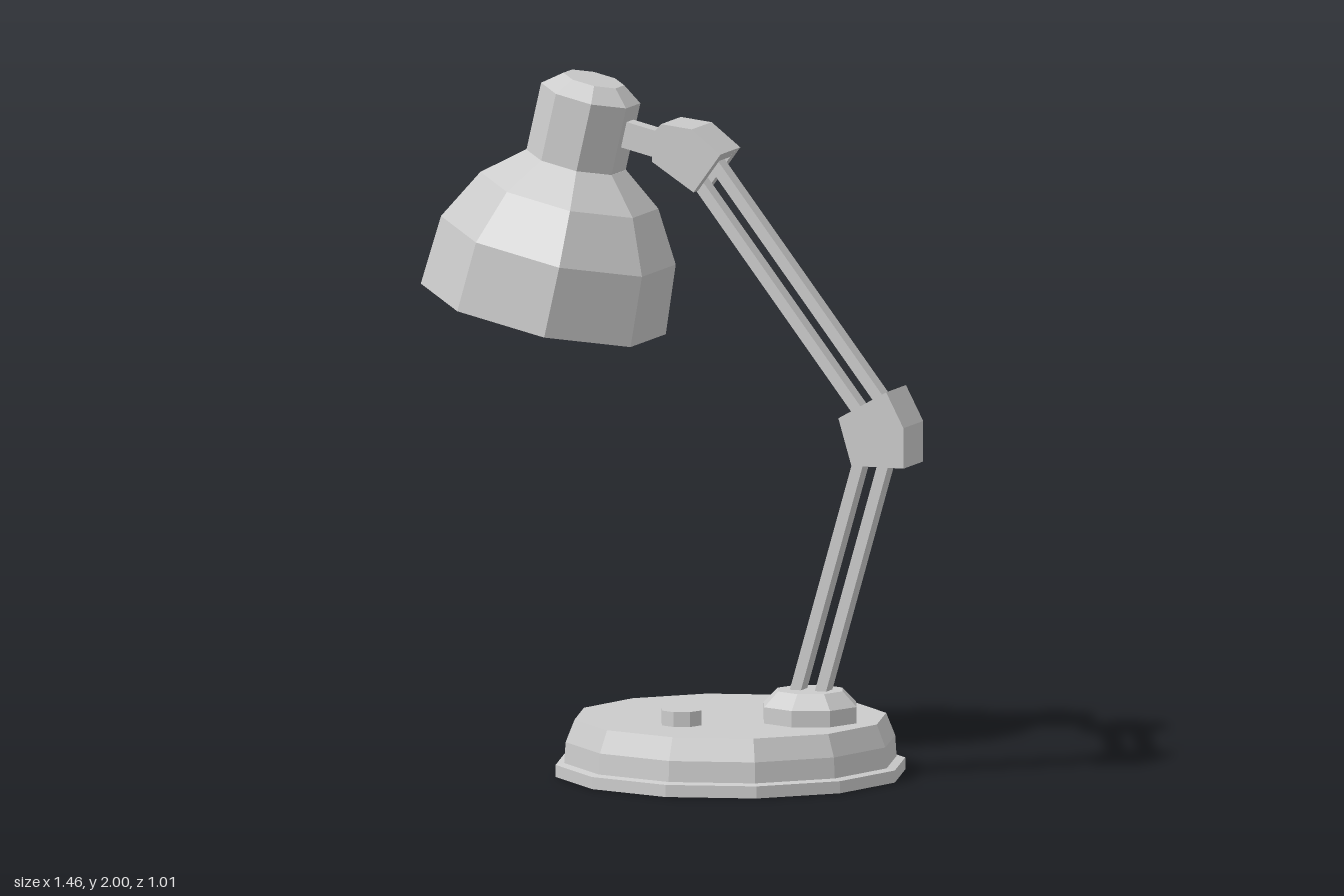
import * as THREE from 'three';

const material = new THREE.MeshStandardMaterial({ color: 0xcccccc, flatShading: true });

function add(parent, name, geometry, x = 0, y = 0, z = 0) {
  const mesh = new THREE.Mesh(geometry, material);
  mesh.name = name;
  mesh.position.set(x, y, z);
  parent.add(mesh);
  return mesh;
}

// Faceted solid turned around y from [radius, height] points
function turned(points, sides, phi = 0) {
  return new THREE.LatheGeometry(points.map(([r, y]) => new THREE.Vector2(r, y)), sides, phi);
}

// Rectangular bar between two points in the xy plane
function bar(parent, name, [x1, y1], [x2, y2], width, depth) {
  const length = Math.hypot(x2 - x1, y2 - y1);
  const mesh = add(parent, name, new THREE.BoxGeometry(length, width, depth), (x1 + x2) / 2, (y1 + y2) / 2);
  mesh.rotation.z = Math.atan2(y2 - y1, x2 - x1);
}

// Pair of parallel rods
function arm(parent, name, [x1, y1], [x2, y2], spacing) {
  const group = new THREE.Group();
  group.name = name;
  const length = Math.hypot(x2 - x1, y2 - y1);
  const nx = (y1 - y2) / length, ny = (x2 - x1) / length;
  for (const side of [-1, 1]) {
    const o = side * spacing / 2;
    bar(group, 'rod', [x1 + nx * o, y1 + ny * o], [x2 + nx * o, y2 + ny * o], 0.033, 0.05);
  }
  parent.add(group);
}

function slab(points, depth) {
  const shape = new THREE.Shape(points.map(([x, y]) => new THREE.Vector2(x, y)));
  return new THREE.ExtrudeGeometry(shape, { depth, bevelEnabled: false });
}

// Folded channel: two side plates joined by a bent outer wall
function bracket(parent, name, plate, wall) {
  const group = new THREE.Group();
  group.name = name;
  add(group, 'sidePlate', slab(plate, 0.034), 0, 0, 0.043);
  add(group, 'sidePlate', slab(plate, 0.034), 0, 0, -0.077);
  add(group, 'outerWall', slab(wall, 0.086), 0, 0, -0.043);
  parent.add(group);
}

export function createModel() {
  const lamp = new THREE.Group();
  lamp.name = 'deskLamp';

  // Base, arm collar and switch
  add(lamp, 'base', turned([
    [0, 0], [0.505, 0], [0.505, 0.035], [0.48, 0.04], [0.476, 0.1], [0.45, 0.165], [0, 0.165],
  ], 12), 0.168);
  add(lamp, 'armCollar', turned([
    [0, 0.16], [0.143, 0.16], [0.143, 0.212], [0.1, 0.255], [0, 0.255],
  ], 8), 0.413);
  add(lamp, 'switchButton', new THREE.CylinderGeometry(0.061, 0.061, 0.05, 8), 0.097, 0.183, 0.2);

  // Two-part arm
  arm(lamp, 'lowerArm', [0.4, 0.2], [0.628, 0.99], 0.074);
  arm(lamp, 'upperArm', [0.092, 1.743], [0.625, 1.058], 0.075);

  // Hinges
  bracket(lamp, 'elbowBracket',
    [[0.53, 1.055], [0.677, 1.138], [0.73, 1.037], [0.73, 0.92], [0.57, 0.92]],
    [[0.677, 1.138], [0.73, 1.037], [0.73, 0.92], [0.7, 0.92], [0.7, 1.03], [0.652, 1.123]]);
  bracket(lamp, 'headBracket',
    [[-0.037, 1.85], [-0.015, 1.875], [0.08, 1.865], [0.168, 1.797], [0.085, 1.683], [-0.043, 1.765]],
    [[-0.015, 1.875], [0.08, 1.865], [0.168, 1.797], [0.15, 1.773], [0.07, 1.835], [-0.02, 1.845]]);
  bar(lamp, 'headLink', [-0.2, 1.842], [0.02, 1.791], 0.076, 0.052);

  // Tilted head: hollow shade with socket housing on top
  const head = new THREE.Group();
  head.name = 'lampHead';
  head.position.set(-0.407, 1.31, 0);
  head.rotation.z = -0.227;
  add(head, 'shade', turned([
    [0, 0.425], [0.13, 0.425], [0.243, 0.34], [0.322, 0.202], [0.335, 0],
    [0.358, 0], [0.343, 0.206], [0.26, 0.356], [0.146, 0.448], [0, 0.448],
  ], 8, Math.PI / 8));
  add(head, 'socketHousing', turned([
    [0, 0.44], [0.145, 0.44], [0.145, 0.648], [0.089, 0.69], [0, 0.69],
  ], 8, Math.PI / 8));
  lamp.add(head);

  return lamp;
}
